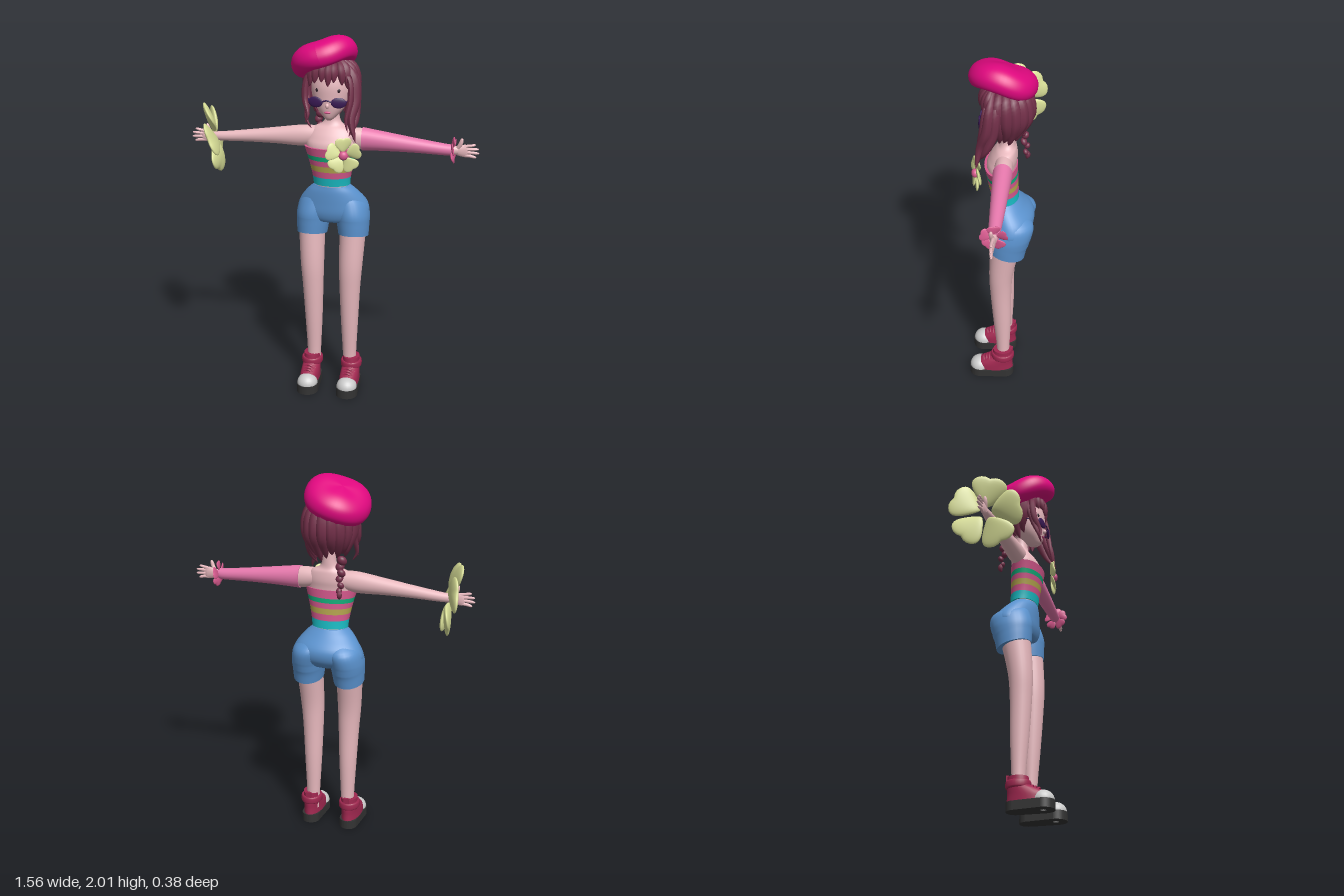
import * as THREE from 'three';

const C = { skin: 0xe8b9be, hat: 0xe0087f, hair: 0x74304a, denim: 0x5b93cf, petal: 0xdce29a, sleeve: 0xe678ac,
  cyan: 0x1bc0c8, olive: 0xb8a850, green: 0x15b07c, pink: 0xd85a8f, shoe: 0xa02850, sole: 0x333333,
  white: 0xeeeeee, lens: 0x3a1a55, dark: 0x30202a };
const mats = {};
function mesh(parent, name, geo, color) {
  mats[color] ??= new THREE.MeshStandardMaterial({ color: C[color], side: THREE.DoubleSide });
  const m = new THREE.Mesh(geo, mats[color]);
  m.name = name;
  parent.add(m);
  return m;
}

// Smooth elliptical loft; each section is [t, u, v, ru, rv] with t along the axis
function loft(sections, axis = 'y', n = 28, sub = 5) {
  const k = sections.length;
  const curve = new THREE.CubicInterpolant(sections.map((_, i) => i), sections.flat(), 5, new Float32Array(5));
  const pos = [], idx = [], rings = (k - 1) * sub;
  const put = (t, u, v) => (axis === 'y' ? pos.push(u, t, v) : pos.push(t, u, v));
  const flip = (axis === 'x') !== (sections[k - 1][0] < sections[0][0]);
  const tri = (a, b, c) => (flip ? idx.push(a, c, b) : idx.push(a, b, c));
  const ring = (s) => {
    for (let j = 0; j < n; j++) {
      const p = (j / n) * Math.PI * 2;
      put(s[0], s[1] + s[3] * Math.cos(p), s[2] + s[4] * Math.sin(p));
    }
  };
  for (let i = 0; i <= rings; i++) ring(curve.evaluate(i / sub));
  for (let i = 0; i < rings; i++) for (let j = 0; j < n; j++) {
    const a = i * n + j, b = i * n + ((j + 1) % n);
    tri(a, a + n, b);
    tri(b, a + n, b + n);
  }
  [sections[0], sections[k - 1]].forEach((s, e) => {
    const base = pos.length / 3;
    ring(s);
    put(s[0], s[1], s[2]);
    for (let j = 0; j < n; j++) {
      const a = base + j, b = base + ((j + 1) % n);
      e ? tri(base + n, b, a) : tri(base + n, a, b);
    }
  });
  const g = new THREE.BufferGeometry();
  g.setAttribute('position', new THREE.Float32BufferAttribute(pos, 3));
  g.setIndex(idx);
  g.computeVertexNormals();
  return g;
}

// Tube whose thickness follows a rule along its length
function taper(points, radius, rule = (u) => Math.pow(Math.sin(Math.PI * (0.12 + 0.88 * u)), 0.7), n = 20) {
  const curve = new THREE.CatmullRomCurve3(points.map((p) => new THREE.Vector3(...p)));
  const g = new THREE.TubeGeometry(curve, n, radius, 8), p = g.attributes.position, v = new THREE.Vector3();
  for (let i = 0; i < p.count; i++) {
    const u = Math.floor(i / 9) / n, c = curve.getPointAt(u);
    v.fromBufferAttribute(p, i).sub(c).multiplyScalar(Math.max(rule(u), 0.01)).add(c);
    p.setXYZ(i, v.x, v.y, v.z);
  }
  g.computeVertexNormals();
  return g;
}

function ball(parent, name, color, [x, y, z], [a, b, c]) {
  const m = mesh(parent, name, new THREE.SphereGeometry(1, 24, 16), color);
  m.position.set(x, y, z);
  m.scale.set(a, b, c);
  return m;
}

// Five puffy overlapping petals around an open middle
function flower(parent, name, color, R, at, normal) {
  const g = new THREE.Group();
  g.name = name;
  for (let k = 0; k < 5; k++) {
    const geo = new THREE.SphereGeometry(1, 24, 16), p = geo.attributes.position;
    for (let i = 0; i < p.count; i++) {
      const x = p.getX(i), y = p.getY(i), r = 0.58 + 0.42 * x;
      const notch = 1 - 0.07 * Math.max(x, 0) * Math.exp(-y * y * 30);
      p.setXYZ(i, R * r * notch, R * y * (0.42 + 0.22 * x), R * (p.getZ(i) * 0.1 + 0.1 * y + 0.1 * r * r - 0.05));
    }
    geo.computeVertexNormals();
    mesh(g, 'petal', geo, color).rotation.z = (k * Math.PI * 2) / 5 + Math.PI / 2;
  }
  g.position.set(...at);
  g.quaternion.setFromUnitVectors(new THREE.Vector3(0, 0, 1), new THREE.Vector3(...normal).normalize());
  parent.add(g);
  return g;
}

function addTorso(g) {
  mesh(g, 'torso', loft([[1.17, 0, -0.007, 0.09, 0.066], [1.25, 0, 0, 0.095, 0.07], [1.4, 0, 0.012, 0.132, 0.078],
    [1.46, 0, 0, 0.13, 0.072], [1.505, 0, -0.012, 0.105, 0.055], [1.53, 0, -0.018, 0.055, 0.04],
    [1.57, 0, -0.022, 0.037, 0.034], [1.66, 0, -0.02, 0.037, 0.034]]), 'skin');
  // Striped top
  const section = (y) => {
    const f = (y - 1.2) / 0.21;
    return [y, 0, -0.007 + 0.022 * f, 0.099 + 0.045 * f ** 1.4, 0.073 + 0.014 * f];
  };
  const ys = [1.2, 1.245, 1.28, 1.312, 1.342, 1.367, 1.412];
  ['cyan', 'pink', 'olive', 'pink', 'green', 'pink'].forEach((c, i) =>
    mesh(g, 'topStripe', loft([section(ys[i]), section((ys[i] + ys[i + 1]) / 2), section(ys[i + 1])], 'y', 36, 3), c));
  const f = flower(g, 'chestFlower', 'petal', 0.096, [0.09, 1.4, 0.135], [0.3, 0.05, 1]);
  ball(f, 'flowerCentre', 'pink', [0, 0, 0.008], [0.024, 0.024, 0.018]);
}

function addShorts(g) {
  mesh(g, 'shortsHips', loft([[1.195, 0, -0.006, 0.096, 0.072], [1.16, 0, -0.02, 0.135, 0.09], [1.1, 0, -0.045, 0.18, 0.115],
    [1.04, 0, -0.045, 0.196, 0.112], [0.995, 0, -0.035, 0.15, 0.085], [0.98, 0, -0.03, 0.07, 0.05]], 'y', 40), 'denim');
  for (const s of [1, -1]) {
    const geo = loft([[0.91, s * 0.115, -0.027, 0.082, 0.094], [0.97, s * 0.112, -0.032, 0.088, 0.102],
      [1.03, s * 0.108, -0.043, 0.092, 0.114], [1.1, s * 0.092, -0.055, 0.088, 0.108], [1.15, s * 0.07, -0.035, 0.05, 0.07]]);
    const p = geo.attributes.position;
    for (let i = 0; i < p.count; i++) p.setY(i, p.getY(i) + 0.2 * p.getZ(i) * (p.getY(i) < 1 ? 1 : 0.5));
    geo.computeVertexNormals();
    mesh(g, 'shortsLeg', geo, 'denim');
  }
}

function addLeg(g, s) {
  mesh(g, 'leg', loft([[0.08, s * 0.104, -0.004, 0.036, 0.036], [0.2, s * 0.102, -0.004, 0.038, 0.037],
    [0.4, s * 0.102, 0.001, 0.048, 0.05], [0.6, s * 0.104, 0.008, 0.057, 0.058], [0.75, s * 0.108, 0.006, 0.065, 0.066],
    [0.95, s * 0.114, -0.02, 0.072, 0.082]]), 'skin');
  const shoe = new THREE.Group();
  shoe.name = 'shoe';
  shoe.position.x = s * 0.113;
  g.add(shoe);
  const out = new THREE.Shape();
  out.absarc(0, -0.129, 0.06, Math.PI, Math.PI * 2, false);
  out.absarc(0, 0.016, 0.05, 0, Math.PI, false);
  const sole = new THREE.ExtrudeGeometry(out, { depth: 0.048, bevelEnabled: false, curveSegments: 20 });
  mesh(shoe, 'sole', sole.rotateX(-Math.PI / 2), 'sole');
  mesh(shoe, 'shoeUpper', loft([[0.045, 0, 0.055, 0.054, 0.118], [0.08, 0, 0.05, 0.053, 0.11], [0.11, 0, 0.025, 0.05, 0.085],
    [0.135, 0, 0.002, 0.047, 0.06], [0.18, 0, -0.003, 0.046, 0.054]]), 'shoe');
  ball(shoe, 'toeCap', 'white', [0, 0.05, 0.128], [0.057, 0.052, 0.058]);
  mesh(shoe, 'ankleStrap', loft([[0.118, 0, -0.002, 0.054, 0.062], [0.126, 0, -0.002, 0.059, 0.066],
    [0.15, 0, -0.002, 0.059, 0.066], [0.158, 0, -0.002, 0.054, 0.062]], 'y', 28, 2), 'shoe');
  mesh(shoe, 'heelTab', new THREE.BoxGeometry(0.03, 0.05, 0.012), 'shoe').position.set(0, 0.165, -0.055);
  for (let i = 0; i < 3; i++)
    mesh(shoe, 'lace', taper([[-0.035, 0.092 + 0.01 * i, 0.1 - 0.016 * i], [0, 0.115 + 0.007 * i, 0.108 - 0.016 * i],
      [0.035, 0.092 + 0.01 * i, 0.1 - 0.016 * i]], 0.006, () => 1), 'shoe');
}

function addArm(g, s) {
  const pts = [[0.07, 1.462, 0.05, 0.046], [0.16, 1.455, 0.057, 0.046], [0.3, 1.447, 0.045, 0.04],
    [0.45, 1.436, 0.034, 0.033], [0.6, 1.424, 0.026, 0.025], [0.67, 1.422, 0.022, 0.016]];
  const sec = (list, grow) => list.map(([x, y, a, b]) => [s * x, y, -0.008, a + grow, b + grow]);
  mesh(g, 'arm', loft(sec(pts, 0), 'x'), 'skin');
  // Hand with four fingers and a raised thumb
  mesh(g, 'palm', loft([[0.65, 0.02, 0.014], [0.68, 0.03, 0.014], [0.71, 0.034, 0.011], [0.722, 0.028, 0.007]]
    .map(([x, a, b]) => [s * x, 1.422, -0.008, a, b]), 'x', 16), 'skin');
  const digit = (u) => Math.sqrt(Math.max(0, 1 - u ** 6));
  [0.765, 0.78, 0.778, 0.76].forEach((x, i) => mesh(g, 'finger', taper([[s * 0.7, 1.398 + i * 0.016, -0.008],
    [s * 0.735, 1.396 + i * 0.0185, -0.006], [s * x, 1.389 + i * 0.023, -0.008]], 0.0085, digit), 'skin'));
  mesh(g, 'thumb', taper([[s * 0.665, 1.43, -0.006], [s * 0.682, 1.462, 0], [s * 0.69, 1.492, 0]], 0.011, digit), 'skin');
  if (s > 0) {
    mesh(g, 'sleeve', loft(sec([[0.165, 1.455, 0.057, 0.046], ...pts.slice(2, 5), [0.645, 1.423, 0.024, 0.02]], 0.005), 'x'), 'sleeve');
    flower(g, 'sleeveCuff', 'pink', 0.07, [0.645, 1.423, -0.008], [1, 0, 0]);
  } else {
    flower(g, 'wristFlower', 'petal', 0.192, [-0.655, 1.418, -0.008], [-1, -0.2, 0.24]);
  }
}

function addHead(g) {
  mesh(g, 'head', loft([[1.566, 0, 0.062, 0.012, 0.014], [1.585, 0, 0.048, 0.036, 0.045], [1.63, 0, 0.025, 0.075, 0.08],
    [1.69, 0, 0.01, 0.1, 0.1], [1.76, 0, 0.002, 0.108, 0.108], [1.84, 0, 0, 0.085, 0.085], [1.88, 0, 0, 0.02, 0.02]], 'y', 36), 'skin');
  ball(g, 'nose', 'skin', [0, 1.652, 0.112], [0.01, 0.014, 0.012]);
  ball(g, 'lips', 'pink', [0, 1.615, 0.105], [0.018, 0.006, 0.007]);
  for (const s of [1, -1]) {
    ball(g, 'eye', 'dark', [s * 0.054, 1.73, 0.092], [0.011, 0.012, 0.007]);
    ball(g, 'glassesLens', 'lens', [s * 0.061, 1.672, 0.116], [0.04, 0.028, 0.008]).rotation.y = s * 0.2;
    mesh(g, 'glassesTemple', taper([[s * 0.098, 1.675, 0.108], [s * 0.112, 1.685, 0.05], [s * 0.11, 1.69, 0]], 0.004, () => 1), 'lens');
  }
  mesh(g, 'glassesBridge', taper([[-0.026, 1.675, 0.122], [0, 1.683, 0.126], [0.026, 1.675, 0.122]], 0.004, () => 1), 'lens');
}

function addHair(g) {
  ball(g, 'hairBase', 'hair', [0, 1.755, -0.032], [0.125, 0.125, 0.103]);
  const lock = (pts, r) => mesh(g, 'hairLock', taper(pts, r), 'hair');
  // Locks falling from the crown round the back and sides
  for (let i = -5; i <= 5; i++) {
    const a = i * 0.37, x = Math.sin(a), z = -Math.cos(a), f = Math.max(0, z);
    lock([[0.05 * x, 1.87, 0.06 * z], [0.105 * x, 1.83, 0.1 * z - 0.01], [0.118 * x, 1.73, 0.118 * z - 0.01],
      [0.1 * x, 1.65, 0.085 * z - 0.012], [0.08 * x, 1.585 - 0.02 * (i % 2) + 0.05 * f, 0.065 * z]], 0.036);
  }
  // Fringe
  [[-0.1, 1.745], [-0.07, 1.765], [-0.03, 1.775], [0.005, 1.755], [0.035, 1.775], [0.075, 1.76], [0.1, 1.74]].forEach(([x, y]) =>
    lock([[x * 0.6, 1.88, 0.055], [x * 0.9, 1.835, 0.098 - x * x * 3], [x, y, 0.122 - x * x * 4]], 0.024));
  // Long locks framing the face
  lock([[0.07, 1.87, 0.05], [0.125, 1.8, 0.06], [0.14, 1.68, 0.075], [0.125, 1.58, 0.11], [0.153, 1.47, 0.13]], 0.028);
  lock([[0.07, 1.87, 0.02], [0.128, 1.78, 0.03], [0.138, 1.66, 0.045], [0.14, 1.56, 0.085], [0.115, 1.5, 0.12]], 0.028);
  lock([[0.06, 1.86, 0.07], [0.112, 1.78, 0.085], [0.118, 1.68, 0.1], [0.1, 1.58, 0.12], [0.11, 1.52, 0.125]], 0.016);
  lock([[-0.07, 1.86, 0.06], [-0.115, 1.78, 0.075], [-0.122, 1.68, 0.09], [-0.1, 1.6, 0.12], [-0.115, 1.56, 0.125]], 0.018);
  lock([[-0.08, 1.85, 0.03], [-0.118, 1.76, 0.05], [-0.108, 1.66, 0.08], [-0.11, 1.58, 0.11], [-0.08, 1.53, 0.12]], 0.016);
  // Braid over the back of the shoulder
  for (let i = 0; i < 6; i++) {
    const k = i % 2 ? 1 : -1, r = 0.025 - 0.002 * i;
    const m = ball(g, 'braidLink', 'hair', [-0.088 + k * 0.006, 1.59 - i * 0.032, -0.088 - i * 0.005 + k * 0.006], [r, r * 1.15, r * 0.85]);
    m.rotation.set(k * 0.5, 0, k * 0.5);
  }
  lock([[-0.088, 1.43, -0.113], [-0.088, 1.41, -0.118], [-0.085, 1.385, -0.112]], 0.014);
}

function addBeret(g) {
  const profile = new THREE.SplineCurve([[0, -0.045], [0.09, -0.055], [0.15, -0.055], [0.177, -0.01], [0.16, 0.045],
    [0.1, 0.08], [0, 0.088]].map(([x, y]) => new THREE.Vector2(x, y))).getPoints(36);
  profile.forEach((p) => { p.x = Math.max(p.x, 0); });
  const geo = new THREE.LatheGeometry(profile, 48), p = geo.attributes.position;
  // Soft slouch: gentle lumps around the brim
  for (let i = 0; i < p.count; i++) {
    const a = Math.atan2(p.getZ(i), p.getX(i)), r = Math.hypot(p.getX(i), p.getZ(i));
    p.setY(i, p.getY(i) + 0.04 * r * Math.sin(3 * a + 0.6));
  }
  geo.computeVertexNormals();
  const hat = mesh(g, 'beret', geo, 'hat');
  hat.position.set(-0.038, 1.883, 0.006);
  hat.rotation.set(-0.26, 0, 0.38);
}

export function createModel() {
  const g = new THREE.Group();
  g.name = 'figure';
  addTorso(g);
  addShorts(g);
  for (const s of [1, -1]) {
    addLeg(g, s);
    addArm(g, s);
  }
  addHead(g);
  addHair(g);
  addBeret(g);
  return g;
}
